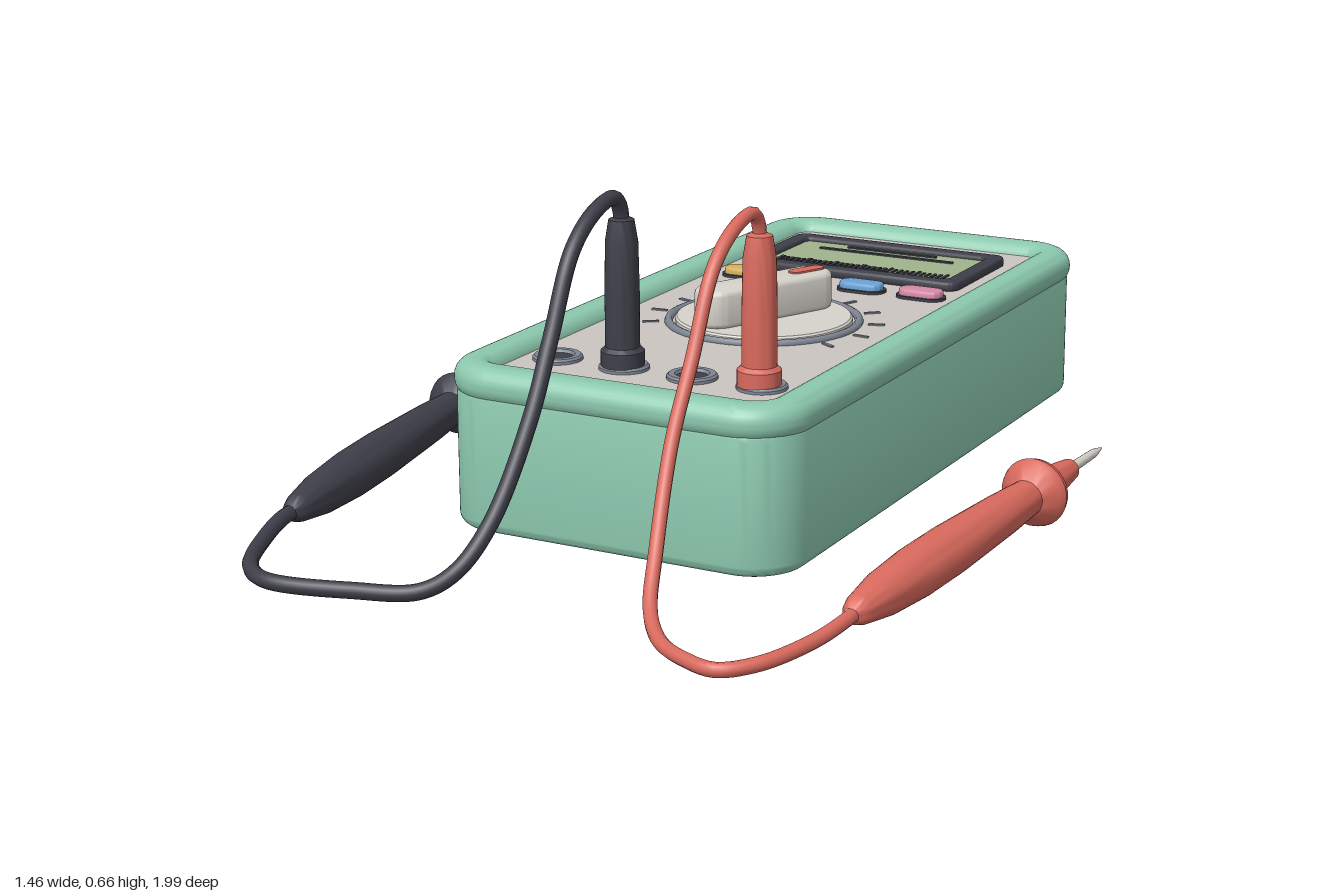
import * as THREE from 'three';
import { toCreasedNormals } from 'three/addons/utils/BufferGeometryUtils.js';

const mat = (name, color) => {
  const m = new THREE.MeshStandardMaterial({ color });
  m.name = name;
  return m;
};

// Rounded rectangle outline, centred on the origin
function roundRect(w, d, r, Type = THREE.Shape) {
  const s = new Type(), x = w / 2, y = d / 2, q = Math.PI / 2;
  s.absarc(x - r, y - r, r, 0, q, false);
  s.absarc(-x + r, y - r, r, q, 2 * q, false);
  s.absarc(-x + r, -y + r, r, 2 * q, 3 * q, false);
  s.absarc(x - r, -y + r, r, 3 * q, 4 * q, false);
  s.closePath();
  return s;
}

// Flat-lying rounded slab from y = 0 to y = h, with rounded edges b and an optional hole [w, d, r]
function slab(w, d, r, h, b = 0, hole = null) {
  const shape = roundRect(w - 2 * b, d - 2 * b, Math.max(r - b, 0.001));
  if (hole) shape.holes.push(roundRect(hole[0] + 2 * b, hole[1] + 2 * b, hole[2] + b, THREE.Path));
  const g = new THREE.ExtrudeGeometry(shape, {
    depth: h - 2 * b, bevelEnabled: b > 0, bevelSize: b, bevelThickness: b,
    bevelSegments: b > 0.015 ? 6 : 3, curveSegments: 8,
  });
  g.translate(0, 0, b).rotateX(-Math.PI / 2);
  return toCreasedNormals(g, 0.7);
}

const lathe = (pts, seg = 28) =>
  toCreasedNormals(new THREE.LatheGeometry(pts.map(([r, y]) => new THREE.Vector2(r, y)), seg), 0.6);

export function createModel() {
  const green = mat('case green', 0x8cc8ae), grey = mat('panel grey', 0xcbc5c0);
  const dark = mat('charcoal', 0x3e3e49), lcd = mat('display green', 0x9fb48c);
  const slate = mat('slate grey', 0x7e8592), red = mat('coral red', 0xd9695d);
  const yellow = mat('yellow', 0xd6b25e), blue = mat('blue', 0x6ba3d6);
  const pink = mat('pink', 0xd68ba6), light = mat('light grey', 0xd6d2cb);

  const model = new THREE.Group();
  const add = (name, geo, m, x = 0, y = 0, z = 0, parent = model) => {
    const mesh = new THREE.Mesh(geo, m);
    mesh.name = name;
    mesh.position.set(x, y, z);
    parent.add(mesh);
    return mesh;
  };

  // Case, thick rounded rim and face panel
  const cz = -0.23, top = 0.305;
  add('case', slab(0.744, 1.53, 0.11, 0.285, 0.022), green, 0, 0, cz);
  add('rim', slab(0.758, 1.54, 0.12, 0.072, 0.034, [0.59, 1.37, 0.03]), green, 0, 0.258, cz);
  add('panel', slab(0.62, 1.4, 0.04, 0.04), grey, 0, top - 0.04, cz);

  // Display: bezel frame, screen, readout lines and bar graph
  const sz = -0.678;
  add('bezel', slab(0.516, 0.296, 0.028, 0.022, 0.006, [0.446, 0.226, 0.014]), dark, 0, top - 0.002, sz);
  add('screen', slab(0.47, 0.25, 0.02, 0.012), lcd, 0, top - 0.002, sz);
  add('readoutLine', slab(0.22, 0.012, 0.005, 0.003), dark, 0, top + 0.01, -0.77);
  add('readoutLine', slab(0.33, 0.012, 0.005, 0.003), dark, 0, top + 0.01, -0.737);
  for (let i = 0; i < 31; i++) {
    const tall = i % 5 === 0 ? 0.042 : 0.028;
    add('barGraphTick', new THREE.BoxGeometry(i < 20 ? 0.009 : 0.006, 0.003, tall), dark,
      -0.202 + i * 0.0134, top + 0.0115, -0.607);
  }

  // Four push buttons in dark surrounds
  [yellow, blue, blue, pink].forEach((m, i) => {
    const x = -0.21 + i * 0.14;
    add('buttonSurround', slab(0.11, 0.062, 0.029, 0.008), dark, x, top - 0.002, -0.457);
    add('button', slab(0.098, 0.05, 0.023, 0.022, 0.005), m, x, top - 0.002, -0.457);
  });

  // Rotary selector
  const dial = new THREE.Group();
  dial.name = 'selector';
  dial.position.set(0, top, -0.13);
  model.add(dial);
  add('dialRing', new THREE.TorusGeometry(0.197, 0.009, 8, 56).rotateX(Math.PI / 2), slate, 0, 0.002, 0, dial);
  add('dialDisc', lathe([[0.184, -0.005], [0.184, 0.009], [0.18, 0.013], [0, 0.013]], 48), light, 0, 0, 0, dial);
  for (let i = 0; i < 11; i++) {
    const a = THREE.MathUtils.degToRad(-120 + i * 24);
    const tick = add('dialTick', new THREE.BoxGeometry(0.008, 0.004, 0.034), slate,
      Math.sin(a) * 0.234, 0.001, -Math.cos(a) * 0.234, dial);
    tick.rotation.y = -a;
  }
  const knob = new THREE.Group();
  knob.name = 'knob';
  knob.rotation.y = -0.43;
  dial.add(knob);
  add('knobGrip', slab(0.092, 0.334, 0.045, 0.08, 0.012), light, 0, 0.01, 0, knob);
  add('knobMark', slab(0.03, 0.086, 0.014, 0.006), red, 0, 0.0875, -0.112, knob);

  // Sockets
  for (let i = 0; i < 4; i++) {
    const x = -0.225 + i * 0.15;
    add('socketRing', lathe([[0.05, -0.004], [0.05, 0.006], [0.046, 0.01], [0.034, 0.01], [0.03, 0.002]]),
      slate, x, top, 0.32);
    add('socketHole', new THREE.CylinderGeometry(0.034, 0.034, 0.008, 24), dark, x, top, 0.32);
  }

  // Test leads: plug, cable, probe handle and metal tip
  const plug = [[0, 0], [0.043, 0], [0.043, 0.034], [0.034, 0.042], [0.034, 0.15], [0.032, 0.25],
    [0.025, 0.293], [0.013, 0.298]];
  const handle = [[0.012, -0.01], [0.022, 0], [0.029, 0.02], [0.042, 0.1], [0.049, 0.22], [0.049, 0.34],
    [0.042, 0.55], [0.036, 0.652], [0.064, 0.675], [0.069, 0.69], [0.064, 0.706], [0.036, 0.73],
    [0.034, 0.75], [0.022, 0.84], [0, 0.845]];
  const tip = [[0.011, 0.83], [0.009, 0.95], [0.002, 0.985], [0, 0.985]];
  const dropPath = [[0.56, 0.325], [0.62, 0.328], [0.648, 0.35], [0.636, 0.425], [0.577, 0.51],
    [0.43, 0.59], [0.29, 0.67]];

  function lead(name, m, x, side, radius, floorPath) {
    const g = new THREE.Group();
    g.name = name;
    model.add(g);
    add('plug', lathe(plug), m, x, top + 0.004, 0.325, g);
    const pts = [...dropPath.map(([y, z]) => [x, y, z]), ...floorPath]
      .map((p) => new THREE.Vector3(...p));
    const curve = new THREE.CatmullRomCurve3(pts, false, 'centripetal');
    add('cable', new THREE.TubeGeometry(curve, 110, radius, 10), m, 0, 0, 0, g);
    const probe = new THREE.Group();
    probe.name = 'probe';
    probe.position.set(side * 0.597, 0.045, 0.7);
    probe.quaternion.setFromUnitVectors(new THREE.Vector3(0, 1, 0),
      new THREE.Vector3(side * 0.093, 0.042, -0.98).normalize());
    g.add(probe);
    add('probeHandle', lathe(handle), m, 0, 0, 0, probe);
    add('probeTip', lathe(tip, 14), light, 0, 0, 0, probe);
  }
  lead('redLead', red, 0.222, 1, 0.0135, [[0.25, 0.125, 0.78], [0.283, 0.05, 0.86], [0.335, 0.022, 0.92],
    [0.41, 0.016, 0.963], [0.475, 0.016, 0.978], [0.53, 0.02, 0.93], [0.578, 0.03, 0.815],
    [0.597, 0.042, 0.73], [0.598, 0.045, 0.68]]);
  lead('blackLead', dark, -0.075, -1, 0.0155, [[-0.093, 0.125, 0.78], [-0.122, 0.05, 0.855],
    [-0.165, 0.022, 0.905], [-0.285, 0.017, 0.947], [-0.455, 0.017, 0.976], [-0.525, 0.02, 0.93],
    [-0.578, 0.03, 0.815], [-0.597, 0.042, 0.73], [-0.598, 0.045, 0.68]]);

  return model;
}
